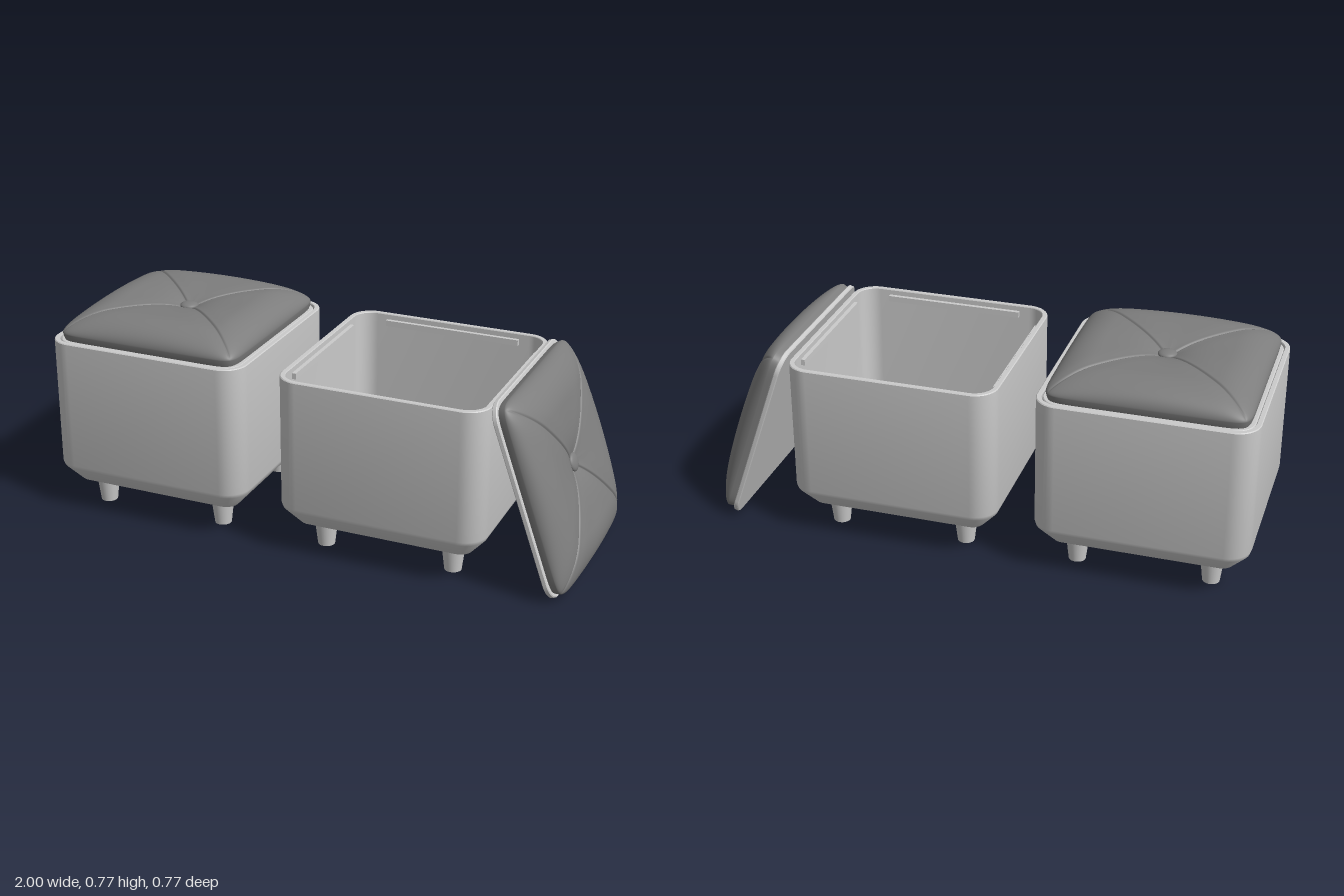
import * as THREE from 'three';
import { toCreasedNormals } from 'three/addons/utils/BufferGeometryUtils.js';

const bodyMaterial = new THREE.MeshStandardMaterial({ color: 0xcccccc });
const fabricMaterial = new THREE.MeshStandardMaterial({ color: 0x7d7d7d });

function mesh(name, geometry, material, parent, x = 0, y = 0, z = 0) {
  const m = new THREE.Mesh(geometry, material);
  m.name = name;
  m.position.set(x, y, z);
  parent.add(m);
  return m;
}

// Skin between closed loops of equal length, listed from the bottom outwards and up
function loft(loops) {
  const n = loops[0].length;
  const pos = loops.flat();
  const index = [];
  const tri = (a, b, c) => {
    const [p, q, r] = [pos[a], pos[b], pos[c]];
    if (p.distanceTo(q) > 1e-6 && q.distanceTo(r) > 1e-6 && r.distanceTo(p) > 1e-6) index.push(a, b, c);
  };
  for (let i = 0; i < loops.length - 1; i++) {
    for (let j = 0; j < n; j++) {
      const a = i * n + j, b = i * n + (j + 1) % n;
      tri(a, a + n, b);
      tri(b, a + n, b + n);
    }
  }
  const g = new THREE.BufferGeometry().setFromPoints(pos);
  g.setIndex(index);
  g.computeVertexNormals();
  return g;
}

// Horizontal rounded square: half width, corner radius, height
function roundedSquare([half, radius, y], seg = 10) {
  const pts = [];
  for (let k = 0; k < 4; k++) {
    const mid = (k + 0.5) * Math.PI / 2;
    const cx = Math.sign(Math.cos(mid)) * (half - radius);
    const cz = Math.sign(Math.sin(mid)) * (half - radius);
    for (let i = 0; i <= seg; i++) {
      const a = (k + i / seg) * Math.PI / 2;
      pts.push(new THREE.Vector3(cx + radius * Math.cos(a), y, cz + radius * Math.sin(a)));
    }
  }
  return pts;
}

const roundedLoft = (profile) => toCreasedNormals(loft(profile.map((p) => roundedSquare(p))), 0.5);

// Tufted cushion: rounded rim, sunken centre and four diagonal seams
function cushionGeometry() {
  const perSide = 64, half = 0.355, rimY = 0.042, rise = 0.08;
  const outline = Array.from({ length: 4 * perSide }, (_, j) => {
    // points gather towards the diagonals so the seams stay crisp
    const t = (j % perSide) / perSide * 2 - 1;
    const a = (Math.floor(j / perSide) + 0.5 + 0.5 * Math.sign(t) * Math.abs(t) ** 1.7) * Math.PI / 2;
    const c = Math.cos(a), s = Math.sin(a);
    const r = half / Math.pow(Math.abs(c) ** 14 + Math.abs(s) ** 14, 1 / 14);
    return [c * r, s * r];
  });
  const loops = [[0.98, 0.012], [0.992, 0.026]].map(([k, y]) =>
    outline.map(([x, z]) => new THREE.Vector3(x * k, y, z * k)));
  const rings = 44;
  for (let i = 0; i <= rings; i++) {
    const s = Math.cos(i / rings * Math.PI / 2 * 0.995);
    const t = Math.max(0, (s - 0.63) / 0.37);
    const dome = Math.sqrt(Math.max(0, 1 - t * t));
    loops.push(outline.map(([ox, oz]) => {
      const x = ox * s, z = oz * s;
      const d = Math.abs(Math.abs(x) - Math.abs(z)) / Math.SQRT2;
      const seam = 0.006 * Math.exp(-((d / 0.004) ** 2)) + 0.004 * Math.exp(-((d / 0.035) ** 2));
      const corner = 0.04 * (x * z / half ** 2) ** 2;
      const dip = 0.048 * Math.exp(-Math.hypot(x, z) / 0.085);
      return new THREE.Vector3(x, rimY + dome * (rise - seam - corner) - dip, z);
    }));
  }
  return loft(loops);
}

// Shell with chamfered foot and hollow inside
const shellGeometry = roundedLoft([
  [0, 0, 0.105], [0.325, 0.045, 0.105],
  [0.38, 0.08, 0.17], [0.385, 0.085, 0.185],
  [0.385, 0.085, 0.667], [0.382, 0.082, 0.67], [0.368, 0.07, 0.67], [0.366, 0.068, 0.667],
  [0.366, 0.068, 0.19], [0.312, 0.045, 0.13], [0, 0, 0.13],
]);
const boardGeometry = roundedLoft([
  [0, 0, 0], [0.361, 0.07, 0], [0.364, 0.073, 0.003],
  [0.364, 0.073, 0.015], [0.361, 0.07, 0.018], [0, 0, 0.018],
]);
const legGeometry = new THREE.CylinderGeometry(0.044, 0.031, 0.108, 28);
const railGeometry = new THREE.BoxGeometry(0.52, 0.022, 0.016);
const cushionShape = cushionGeometry();
const buttonGeometry = new THREE.SphereGeometry(0.034, 32, 16).scale(1, 0.4, 1);

function createBox(name) {
  const box = new THREE.Group();
  box.name = name;
  mesh('shell', shellGeometry, bodyMaterial, box);
  for (const x of [-0.243, 0.243])
    for (const z of [-0.243, 0.243]) mesh('leg', legGeometry, bodyMaterial, box, x, 0.054, z);
  // Ledges that carry the lid
  for (let k = 0; k < 4; k++) {
    const a = k * Math.PI / 2;
    const rail = mesh('lidRail', railGeometry, bodyMaterial, box, Math.sin(a) * 0.359, 0.638, Math.cos(a) * 0.359);
    rail.rotation.y = a;
  }
  return box;
}

function createLid(name) {
  const lid = new THREE.Group();
  lid.name = name;
  mesh('lidBoard', boardGeometry, bodyMaterial, lid);
  mesh('cushion', cushionShape, fabricMaterial, lid);
  mesh('button', buttonGeometry, fabricMaterial, lid, 0, 0.086, 0);
  return lid;
}

export function createModel() {
  const model = new THREE.Group();
  model.name = 'storageOttomans';

  const closedBox = createBox('closedBox');
  closedBox.position.x = -0.615;
  const closedLid = createLid('closedLid');
  closedLid.position.set(-0.615, 0.649, 0);

  const openBox = createBox('openBox');
  openBox.position.x = 0.29;
  // Lid leaning against the open box
  const leaningLid = createLid('leaningLid');
  leaningLid.position.set(0.798, 0.346, 0);
  leaningLid.rotation.z = -1.236;

  model.add(closedBox, closedLid, openBox, leaningLid);
  return model;
}
